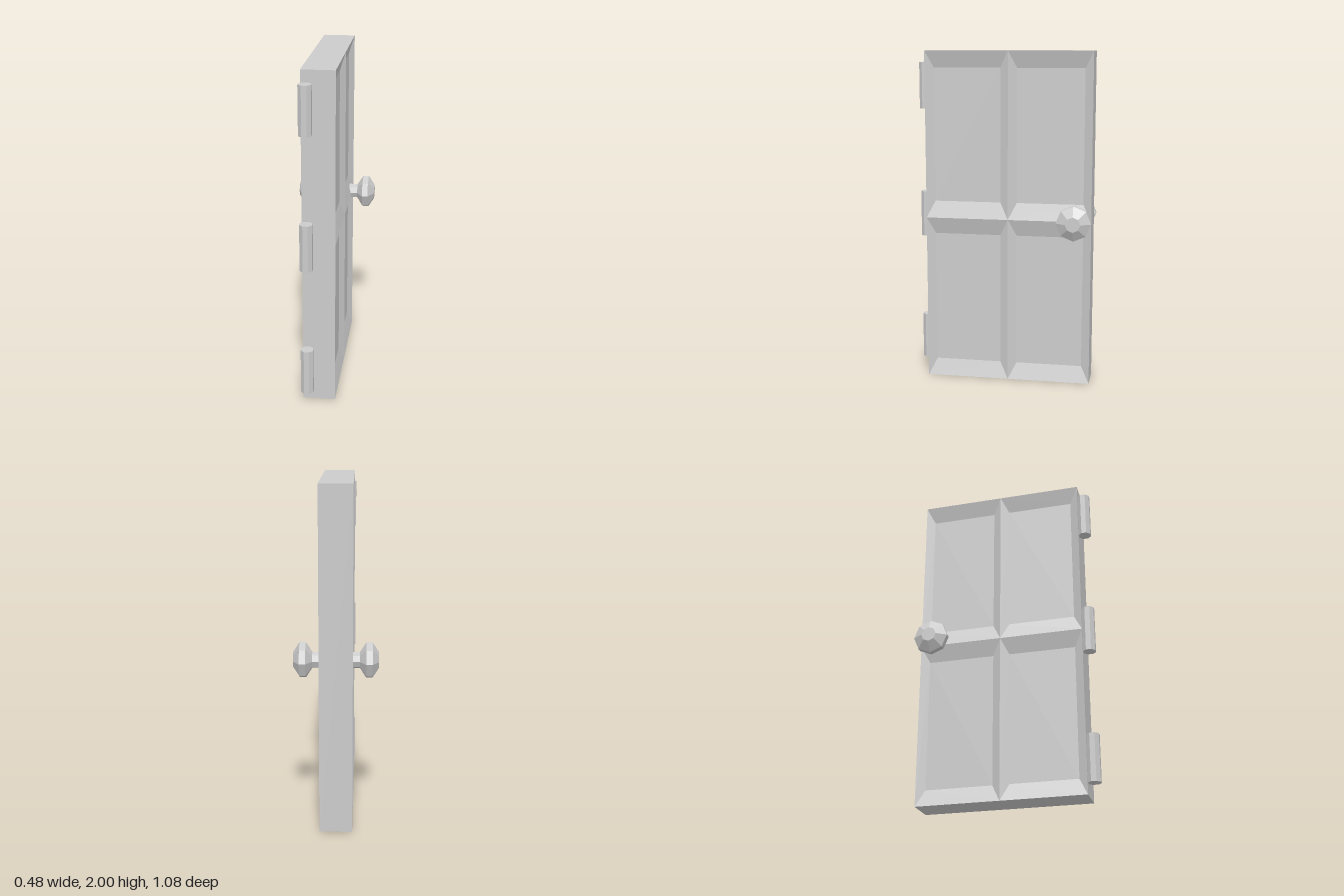
import * as THREE from 'three';

const grey = new THREE.MeshStandardMaterial({ color: 0xcccccc, flatShading: true });

const HALF = 0.095, HEIGHT = 2, Z0 = -0.531, Z1 = 0.469;
const RECESS = 0.03, MARGIN_Z = 0.05, MARGIN_Y = 0.1;

function addMesh(group, name, geometry) {
  const mesh = new THREE.Mesh(geometry, grey);
  mesh.name = name;
  group.add(mesh);
  return mesh;
}

// Slab with a 2 x 2 layout of bevelled, sunken panels on both faces
function doorGeometry() {
  const positions = [];
  const quad = (a, b, c, d, flip = false) => {
    const corners = flip ? [a, c, b, a, d, c] : [a, b, c, a, c, d];
    corners.forEach((p) => positions.push(...p));
  };
  const rect = (x, y0, y1, z0, z1) => [[x, y0, z1], [x, y0, z0], [x, y1, z0], [x, y1, z1]];

  for (const side of [1, -1]) {
    for (let row = 0; row < 2; row++) {
      for (let col = 0; col < 2; col++) {
        const y0 = row * HEIGHT / 2, y1 = y0 + HEIGHT / 2;
        const z0 = Z0 + col * (Z1 - Z0) / 2, z1 = z0 + (Z1 - Z0) / 2;
        const outer = rect(side * HALF, y0, y1, z0, z1);
        const inner = rect(side * (HALF - RECESS), y0 + MARGIN_Y, y1 - MARGIN_Y, z0 + MARGIN_Z, z1 - MARGIN_Z);
        quad(...inner, side < 0);
        for (let i = 0; i < 4; i++) {
          const j = (i + 1) % 4;
          quad(outer[i], outer[j], inner[j], inner[i], side < 0);
        }
      }
    }
  }

  // Flat edges around the slab
  const right = rect(HALF, 0, HEIGHT, Z0, Z1), left = rect(-HALF, 0, HEIGHT, Z0, Z1);
  for (let i = 0; i < 4; i++) {
    const j = (i + 1) % 4;
    quad(right[i], left[i], left[j], right[j]);
  }

  const geometry = new THREE.BufferGeometry();
  geometry.setAttribute('position', new THREE.Float32BufferAttribute(positions, 3));
  geometry.computeVertexNormals();
  return geometry;
}

// Eight-sided handle profile: radius, distance from the door's middle
function knobGeometry() {
  const profile = [
    [0.046, 0.07], [0.046, 0.134], [0.104, 0.17],
    [0.104, 0.205], [0.045, 0.2415], [0, 0.2415],
  ].map(([r, h]) => new THREE.Vector2(r, h));
  return new THREE.LatheGeometry(profile, 8);
}

export function createModel() {
  const model = new THREE.Group();
  model.name = 'door';

  addMesh(model, 'panelledSlab', doorGeometry());

  // A knob on each face
  const knob = knobGeometry();
  for (const side of [1, -1]) {
    const mesh = addMesh(model, side > 0 ? 'leftKnob' : 'rightKnob', knob);
    mesh.rotation.z = -side * Math.PI / 2;
    mesh.position.set(0, 1.01, -0.435);
  }

  // Three hinge barrels along the front edge
  const barrel = new THREE.CylinderGeometry(0.039, 0.039, 0.28, 8);
  barrel.rotateY(Math.PI / 8);
  ['lowerHinge', 'middleHinge', 'upperHinge'].forEach((name, i) => {
    addMesh(model, name, barrel).position.set(-0.066, 0.21 + i * 0.79, 0.504);
  });

  return model;
}
